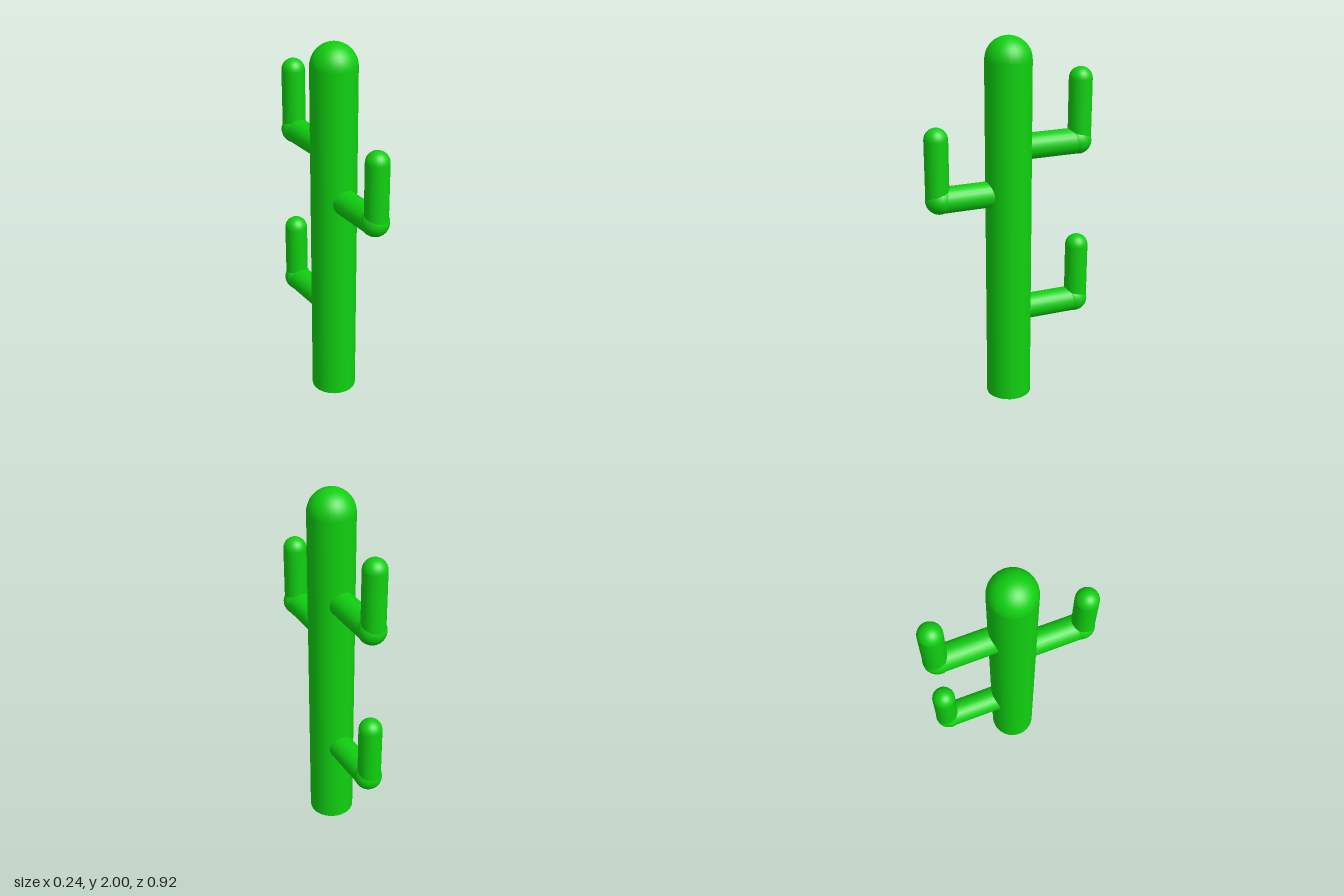
import * as THREE from 'three';

const green = new THREE.MeshStandardMaterial({ color: 0x10d010 });

function add(parent, name, geometry, x, y, z) {
  const mesh = new THREE.Mesh(geometry, green);
  mesh.name = name;
  mesh.position.set(x, y, z);
  parent.add(mesh);
  return mesh;
}

// Upright column with a rounded top, from y = bottom to y = top
function column(parent, name, radius, bottom, top, z, segments) {
  const height = top - radius - bottom;
  add(parent, name, new THREE.CylinderGeometry(radius, radius, height, segments), 0, bottom + height / 2, z);
  const dome = new THREE.SphereGeometry(radius, segments, 10, 0, Math.PI * 2, 0, Math.PI / 2);
  add(parent, name + 'Dome', dome, 0, top - radius, z);
}

// Arm reaching out along z, then bending upwards; side is +1 (front) or -1 (back)
function arm(name, side, y, top) {
  const group = new THREE.Group();
  group.name = name;
  const reach = 0.385;
  const start = 0.05;
  const branch = new THREE.CylinderGeometry(0.069, 0.069, reach - start, 24);
  branch.rotateX(Math.PI / 2);
  add(group, 'branch', branch, 0, y, side * (start + reach) / 2);
  add(group, 'elbow', new THREE.SphereGeometry(0.074, 24, 16), 0, y + 0.003, side * reach);
  column(group, 'upright', 0.062, y, top, side * 0.395, 24);
  return group;
}

export function createModel() {
  const model = new THREE.Group();
  model.name = 'cactus';
  column(model, 'trunk', 0.122, 0, 2, 0.006, 24);
  model.add(
    arm('frontArm', 1, 1.182, 1.567),
    arm('upperBackArm', -1, 1.42, 1.815),
    arm('lowerBackArm', -1, 0.502, 0.885)
  );
  return model;
}
